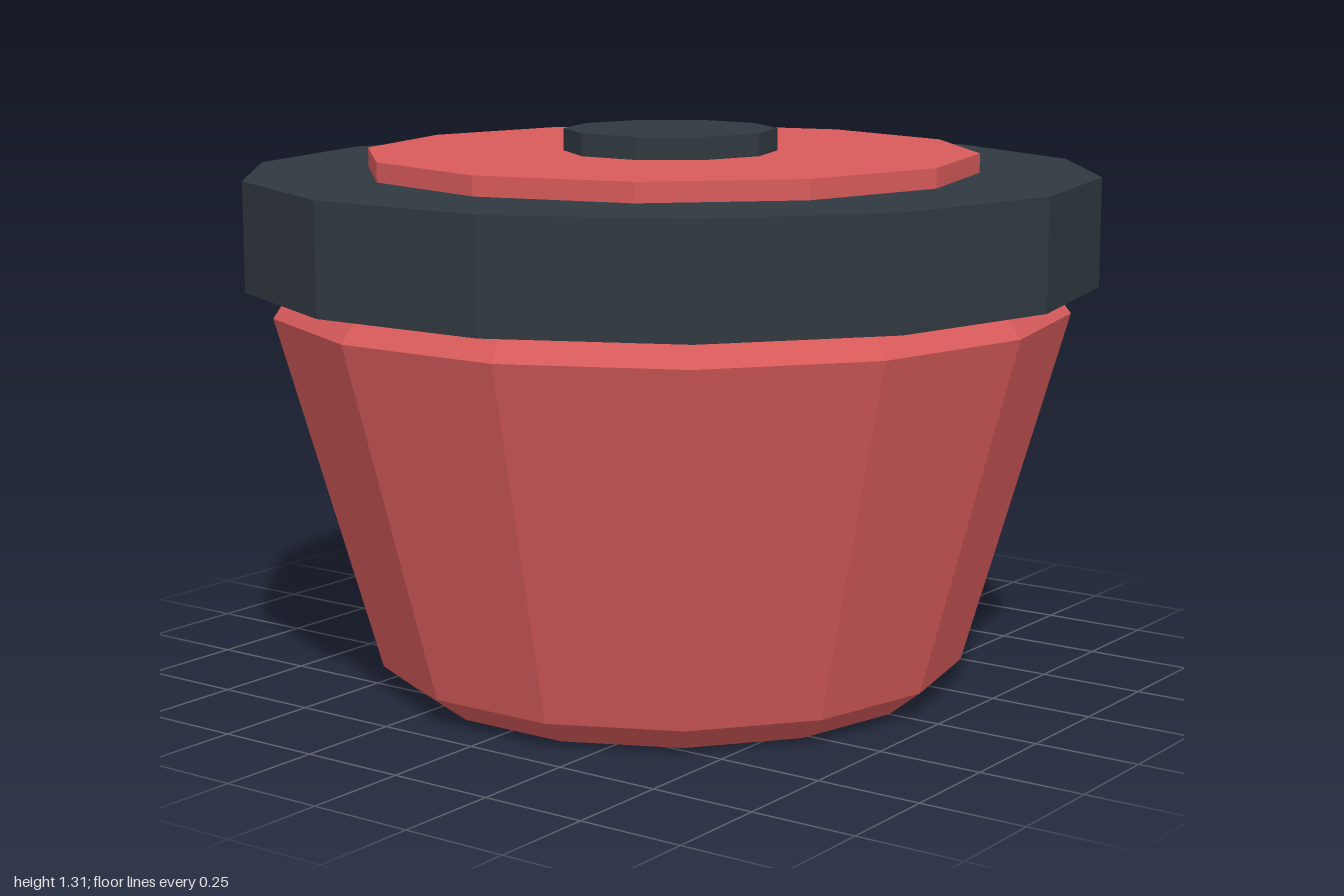
import * as THREE from 'three';

// Faceted solid turned from a [radius, height] profile, listed bottom to top
function turned(name, profile, sides, material) {
  const points = profile.map(([r, y]) => new THREE.Vector2(r, y));
  const geometry = new THREE.LatheGeometry(points, sides).toNonIndexed();
  geometry.computeVertexNormals();
  const mesh = new THREE.Mesh(geometry, material);
  mesh.name = name;
  return mesh;
}

// Straight-sided disc between two heights
function disc(name, radius, bottom, top, sides, material) {
  return turned(name, [[0, bottom], [radius, bottom], [radius, top], [0, top]], sides, material);
}

export function createModel() {
  const red = new THREE.MeshStandardMaterial({ color: 0xd95b5b, flatShading: true });
  red.name = 'red';
  const charcoal = new THREE.MeshStandardMaterial({ color: 0x303940, flatShading: true });
  charcoal.name = 'charcoal';

  const group = new THREE.Group();
  group.name = 'lidded pot';

  // Tapered pot with bevelled foot and shoulder
  group.add(turned('pot body', [
    [0, 0], [0.62, 0], [0.70, 0.063], [0.938, 0.9], [0.86, 1.0], [0, 1.0],
  ], 14, red));

  // Lid: wide collar, raised plate and centre button
  group.add(disc('collar', 1, 0.962, 1.215, 14, charcoal));
  group.add(disc('lid plate', 0.72, 1.2, 1.26, 12, red));
  group.add(disc('button', 0.25, 1.25, 1.312, 10, charcoal));

  return group;
}
